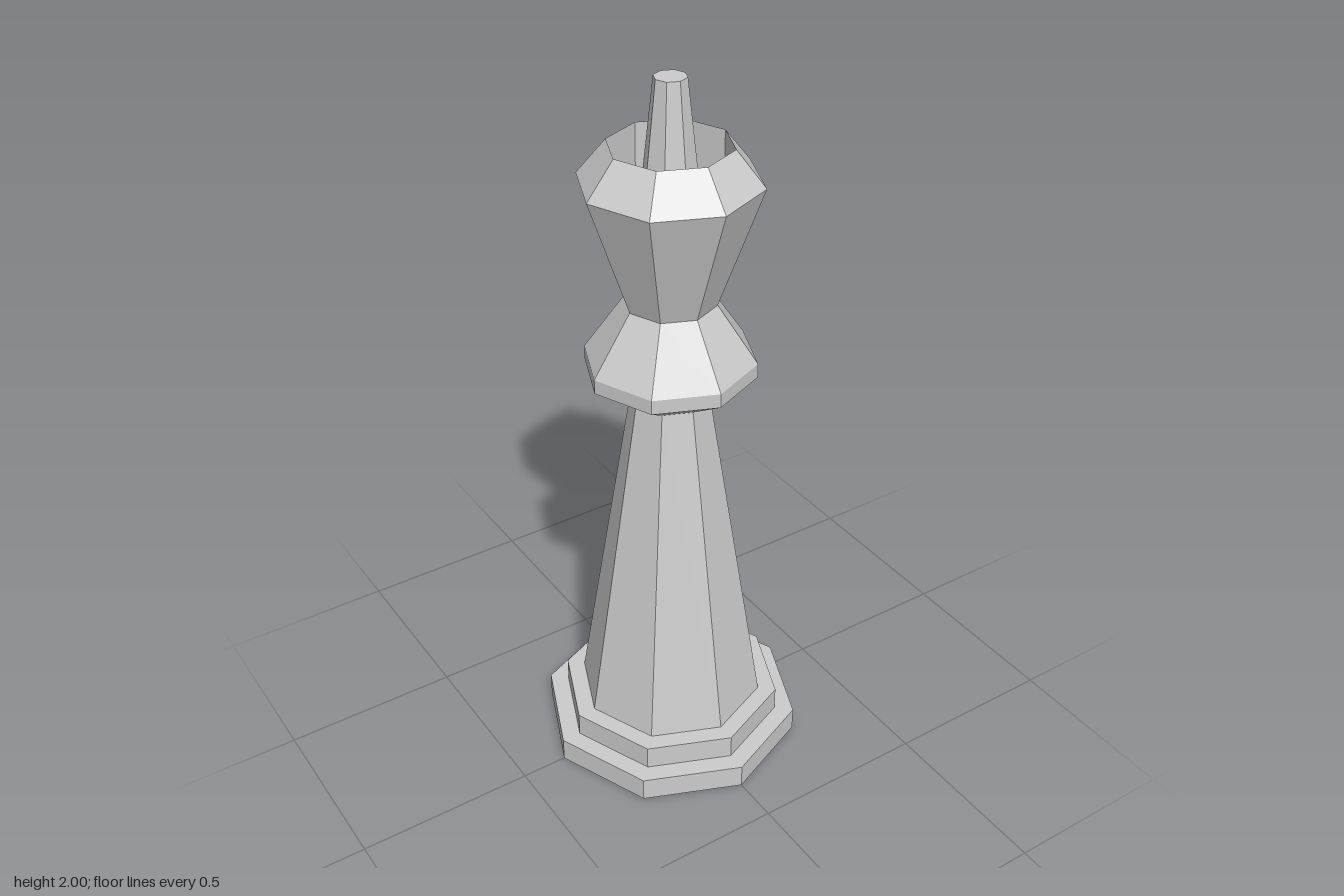
import * as THREE from 'three';

const material = new THREE.MeshStandardMaterial({ color: 0xcccccc, flatShading: true });

// Eight-sided turned part from [radius, height] pairs, listed from the bottom up
function turned(name, profile) {
  const points = profile.map(([r, y]) => new THREE.Vector2(r, y));
  const mesh = new THREE.Mesh(new THREE.LatheGeometry(points, 8), material);
  mesh.name = name;
  return mesh;
}

export function createModel() {
  const group = new THREE.Group();
  group.name = 'chessPiece';
  group.add(
    // Two stepped plinths
    turned('lowerPlinth', [[0, 0], [0.37, 0], [0.37, 0.07], [0.315, 0.07]]),
    turned('upperPlinth', [[0.315, 0.07], [0.315, 0.14], [0.263, 0.14]]),
    // Tapered shaft
    turned('shaft', [[0.263, 0.14], [0.107, 1.125]]),
    // Flared collar narrowing to the neck
    turned('collar', [[0.107, 1.125], [0.23, 1.205], [0.23, 1.245], [0.122, 1.405]]),
    // Head with a hollow crown: outer wall, rim, inner wall, floor
    turned('head', [[0.122, 1.405], [0.237, 1.735], [0.16, 1.83], [0.16, 1.66], [0.08, 1.66]]),
    // Tapered finial rising from the crown floor
    turned('finial', [[0.08, 1.66], [0.042, 2], [0, 2]]),
  );
  return group;
}
